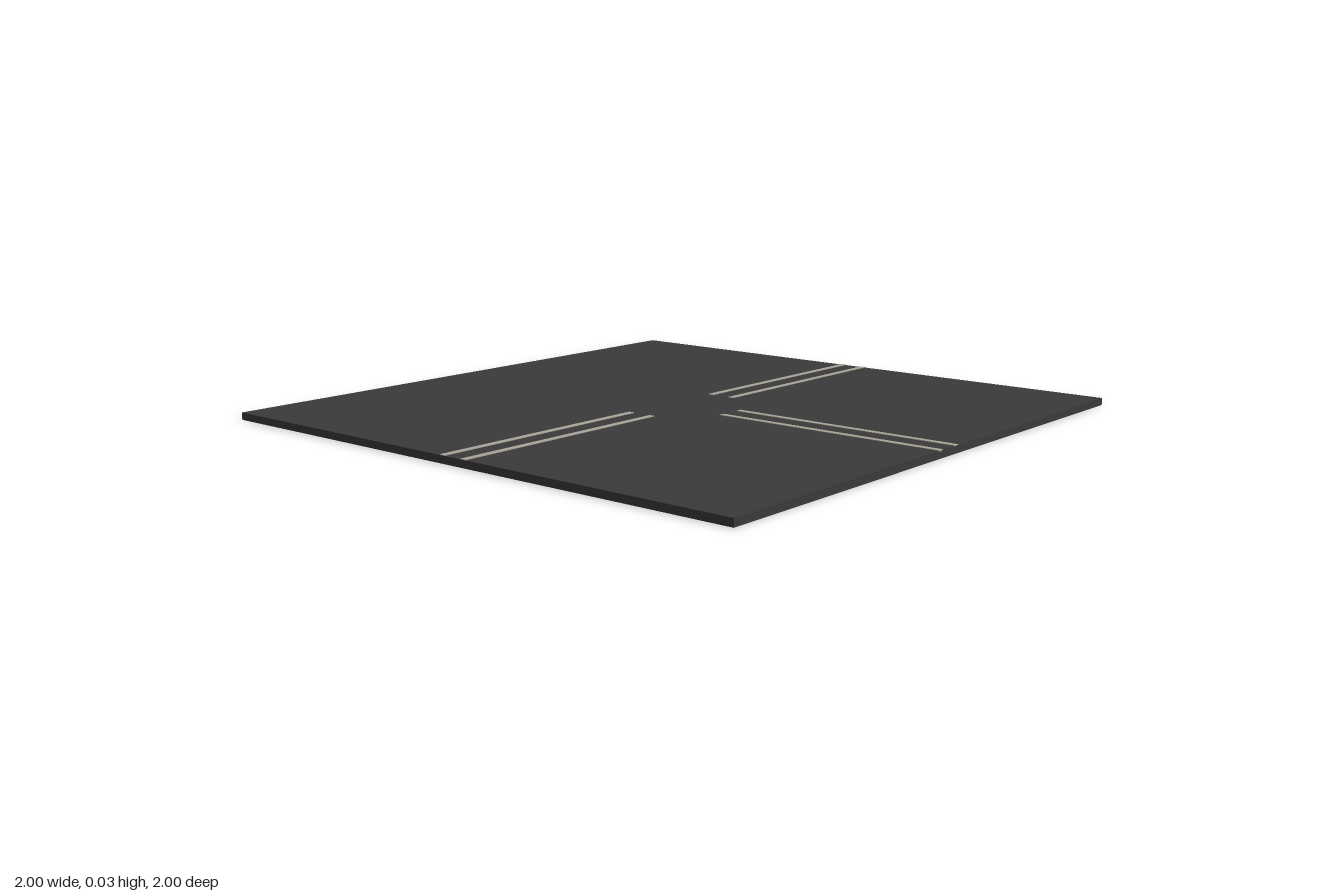
import * as THREE from 'three';

export function createModel() {
  const model = new THREE.Group();
  model.name = 'roadJunction';
  const asphalt = new THREE.MeshStandardMaterial({ name: 'asphalt', color: 0x3a3a3a });
  const paint = new THREE.MeshStandardMaterial({ name: 'linePaint', color: 0xaaa499 });
  const thickness = 0.024;

  // Square road slab
  const slab = new THREE.Mesh(new THREE.BoxGeometry(2, thickness, 2), asphalt);
  slab.name = 'roadSlab';
  slab.position.y = thickness / 2;
  model.add(slab);

  // Double centre lines on the three arms of the T junction
  const lineGeometry = new THREE.BoxGeometry(0.8, 0.004, 0.021);
  const arms = [['leftArmLines', 0], ['rightArmLines', Math.PI], ['frontArmLines', -Math.PI / 2]];
  for (const [name, angle] of arms) {
    const arm = new THREE.Group();
    arm.name = name;
    arm.rotation.y = angle;
    for (const side of [-1, 1]) {
      const line = new THREE.Mesh(lineGeometry, paint);
      line.name = 'laneLine';
      line.position.set(0.6, thickness, side * 0.043);
      arm.add(line);
    }
    model.add(arm);
  }
  return model;
}
